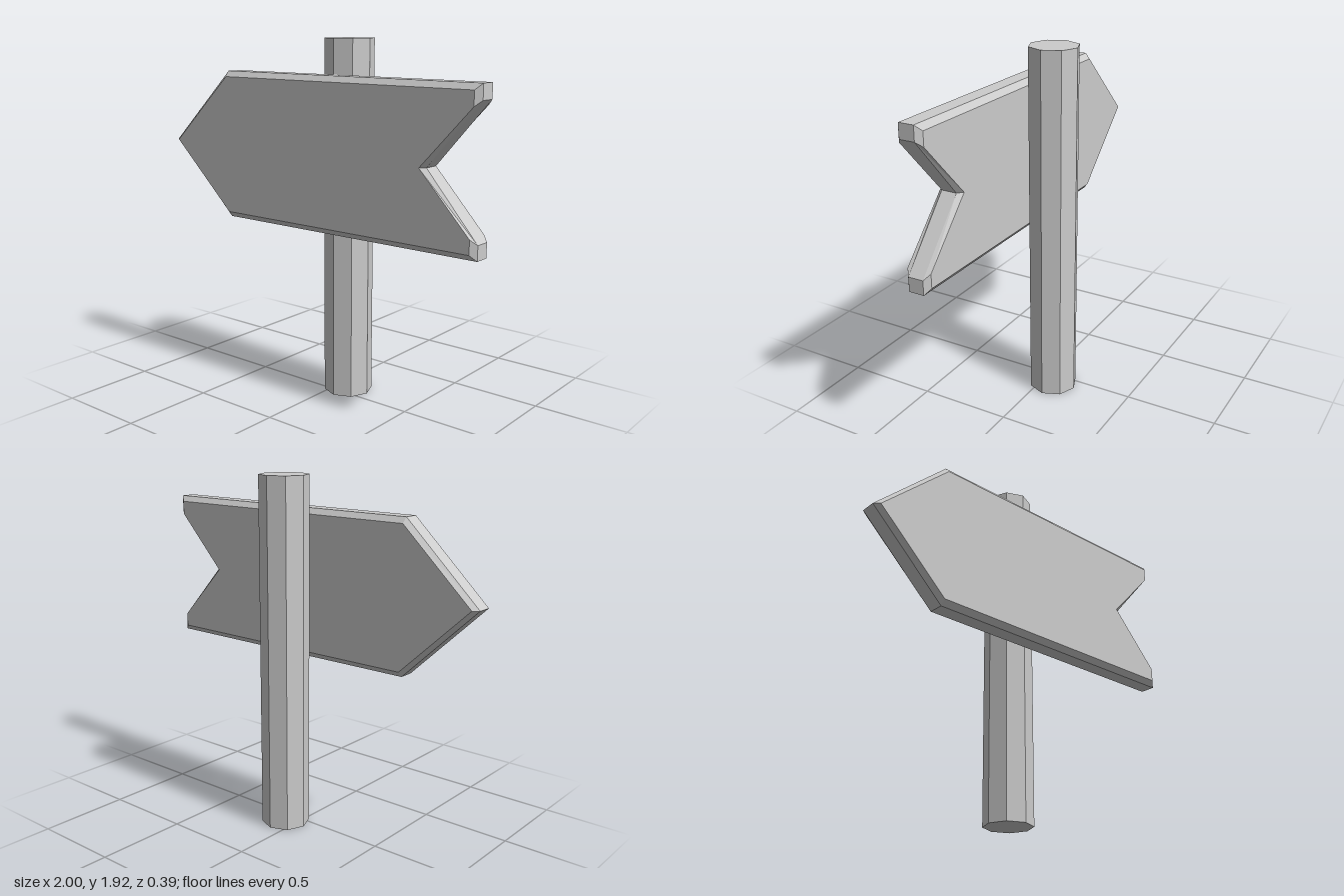
import * as THREE from 'three';

const material = new THREE.MeshStandardMaterial({ color: 0xcccccc, flatShading: true });

// Mirror an upper half outline (tip first, notch last) about the board's middle line,
// giving a counter-clockwise loop.
function outline(tip, upper, notch, midY) {
  const top = upper.map(([x, h]) => new THREE.Vector2(x, midY + h));
  const bottom = upper.map(([x, h]) => new THREE.Vector2(x, midY - h));
  return [
    new THREE.Vector2(tip, midY), ...bottom,
    new THREE.Vector2(notch, midY), ...top.reverse(),
  ];
}

// Solid through a stack of matching loops, ordered from back to front, with both ends capped.
function loftLoops(loops, depths) {
  const n = loops[0].length;
  const positions = [];
  const index = [];
  loops.forEach((loop, k) => loop.forEach((p) => positions.push(p.x, p.y, depths[k])));
  for (let k = 0; k < loops.length - 1; k++) {
    for (let i = 0; i < n; i++) {
      const j = (i + 1) % n;
      const a = k * n + i, b = k * n + j;
      index.push(a, b, b + n, a, b + n, a + n);
    }
  }
  const last = (loops.length - 1) * n;
  for (const [a, b, c] of THREE.ShapeUtils.triangulateShape(loops[0], [])) {
    index.push(c, b, a, last + a, last + b, last + c);
  }
  const indexed = new THREE.BufferGeometry();
  indexed.setAttribute('position', new THREE.Float32BufferAttribute(positions, 3));
  indexed.setIndex(index);
  const geometry = indexed.toNonIndexed();
  geometry.computeVertexNormals();
  return geometry;
}

export function createModel() {
  const group = new THREE.Group();

  // Eight-sided post, one corner facing forward
  const height = 1.92;
  const post = new THREE.Mesh(new THREE.CylinderGeometry(0.131, 0.131, height, 8), material);
  post.name = 'post';
  post.position.set(0.071, height / 2, -0.066);
  group.add(post);

  // Arrow board with a swallow-tail notch and bevelled rims
  const midY = 1.337;
  const rim = outline(-1, [[-0.575, 0.403], [1, 0.403], [1, 0.327]], 0.714, midY);
  const face = outline(-0.97, [[-0.572, 0.373], [0.97, 0.373], [0.97, 0.3]], 0.687, midY);
  const board = new THREE.Mesh(
    loftLoops([face, rim, rim, face], [0.065, 0.09, 0.172, 0.197]), material);
  board.name = 'arrowBoard';
  group.add(board);

  return group;
}
